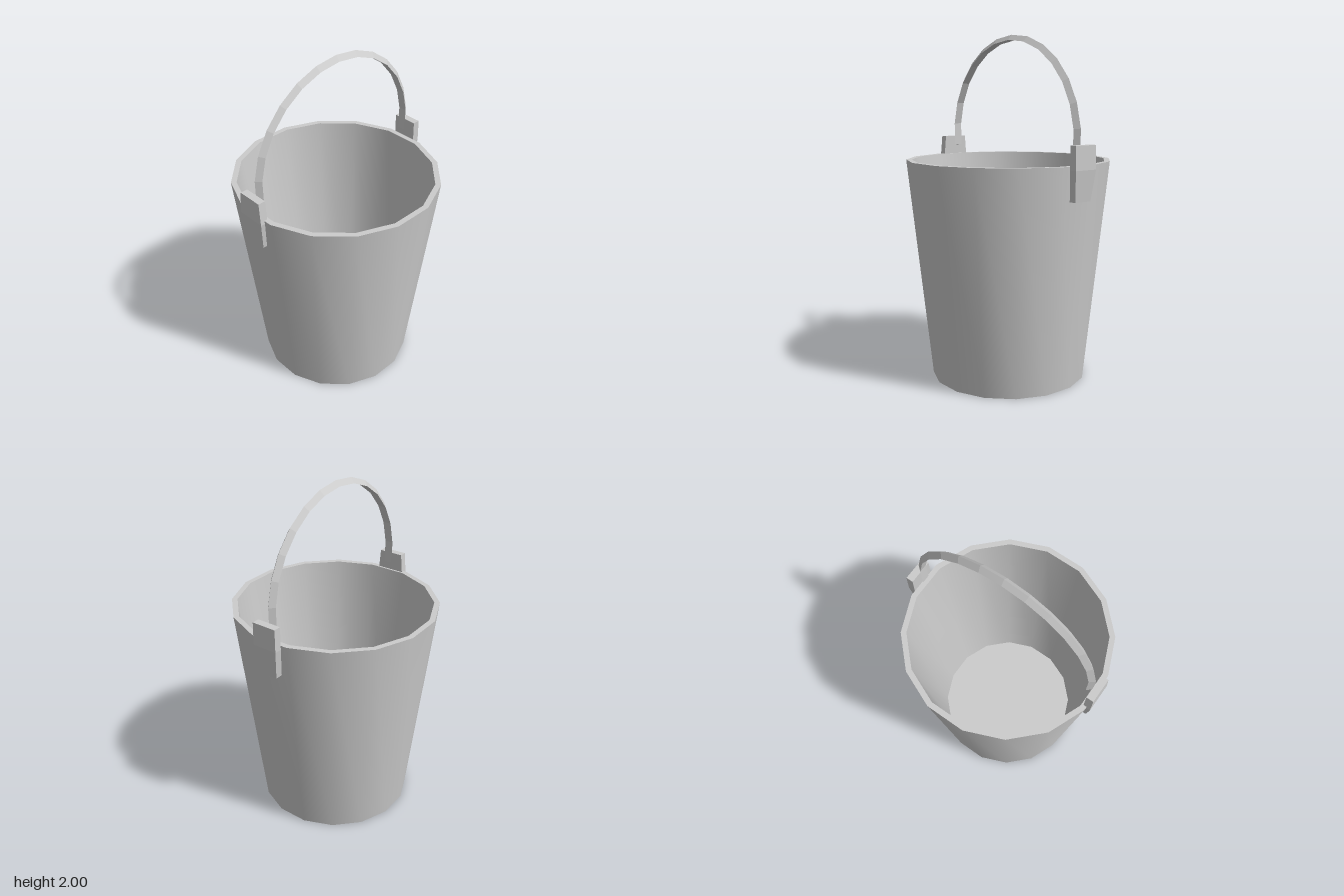
import * as THREE from 'three';
import { toCreasedNormals } from 'three/addons/utils/BufferGeometryUtils.js';

// Faceted solid through a series of rings, closed by end caps.
// Each ring runs counter-clockwise seen from the end it advances towards.
function loft(rings) {
  const n = rings[0].length;
  const pos = [];
  const tri = (a, b, c) => pos.push(...a, ...b, ...c);
  for (let k = 0; k < rings.length - 1; k++) {
    const a = rings[k], b = rings[k + 1];
    for (let i = 0; i < n; i++) {
      const j = (i + 1) % n;
      tri(a[i], a[j], b[j]);
      tri(a[i], b[j], b[i]);
    }
  }
  const first = rings[0], last = rings[rings.length - 1];
  for (let i = 1; i < n - 1; i++) {
    tri(first[0], first[i + 1], first[i]);
    tri(last[0], last[i], last[i + 1]);
  }
  const geo = new THREE.BufferGeometry();
  geo.setAttribute('position', new THREE.Float32BufferAttribute(pos, 3));
  geo.computeVertexNormals();
  return geo;
}

export function createModel() {
  const model = new THREE.Group();
  model.name = 'bucket';
  const smooth = new THREE.MeshStandardMaterial({ color: 0xcccccc });
  const flat = new THREE.MeshStandardMaterial({ color: 0xcccccc, flatShading: true });

  const add = (parent, name, geo, mat) => {
    const mesh = new THREE.Mesh(geo, mat);
    mesh.name = name;
    parent.add(mesh);
    return mesh;
  };

  // Sixteen-sided tapered body with a thick wall and a floor
  const profile = [
    [0, 0], [0.456, 0], [0.596, 1.29], [0.564, 1.29], [0.43, 0.04], [0, 0.04],
  ].map(([r, y]) => new THREE.Vector2(r, y));
  const body = new THREE.LatheGeometry(profile, 16, THREE.MathUtils.degToRad(-6.3));
  add(model, 'body', toCreasedNormals(body, 0.7), smooth);

  // Handle and lugs share one turned axis across the rim
  const carrier = new THREE.Group();
  carrier.name = 'handleAssembly';
  carrier.rotation.y = THREE.MathUtils.degToRad(27.2);
  carrier.position.set(0.005, 0, -0.016);
  model.add(carrier);

  // Bail handle: triangular bar, ridge outwards, a little over a half circle
  const rings = [];
  const segments = 14, over = THREE.MathUtils.degToRad(7.5);
  for (let i = 0; i <= segments; i++) {
    const a = -over + (Math.PI + 2 * over) * i / segments;
    rings.push([[0.55, 0.025], [0.58, 0], [0.55, -0.025]].map(
      ([r, z]) => [r * Math.cos(a), 1.42 + r * Math.sin(a), z]));
  }
  add(carrier, 'handle', loft(rings), flat);

  // Lugs: upright above, leaning in along the wall below
  const lug = (bottomWidth, midWidth, topWidth) => loft([
    [1.1, 0.557, bottomWidth], [1.27, 0.577, midWidth], [1.4, 0.575, topWidth],
  ].map(([y, r, w]) => [
    [r, y, w / 2], [r + 0.043, y, w / 2], [r + 0.043, y, -w / 2], [r, y, -w / 2],
  ]));
  add(carrier, 'leftLug', lug(0.11, 0.147, 0.145), flat);
  add(carrier, 'rightLug', lug(0.13, 0.17, 0.147), flat).rotation.y = Math.PI;

  return model;
}
